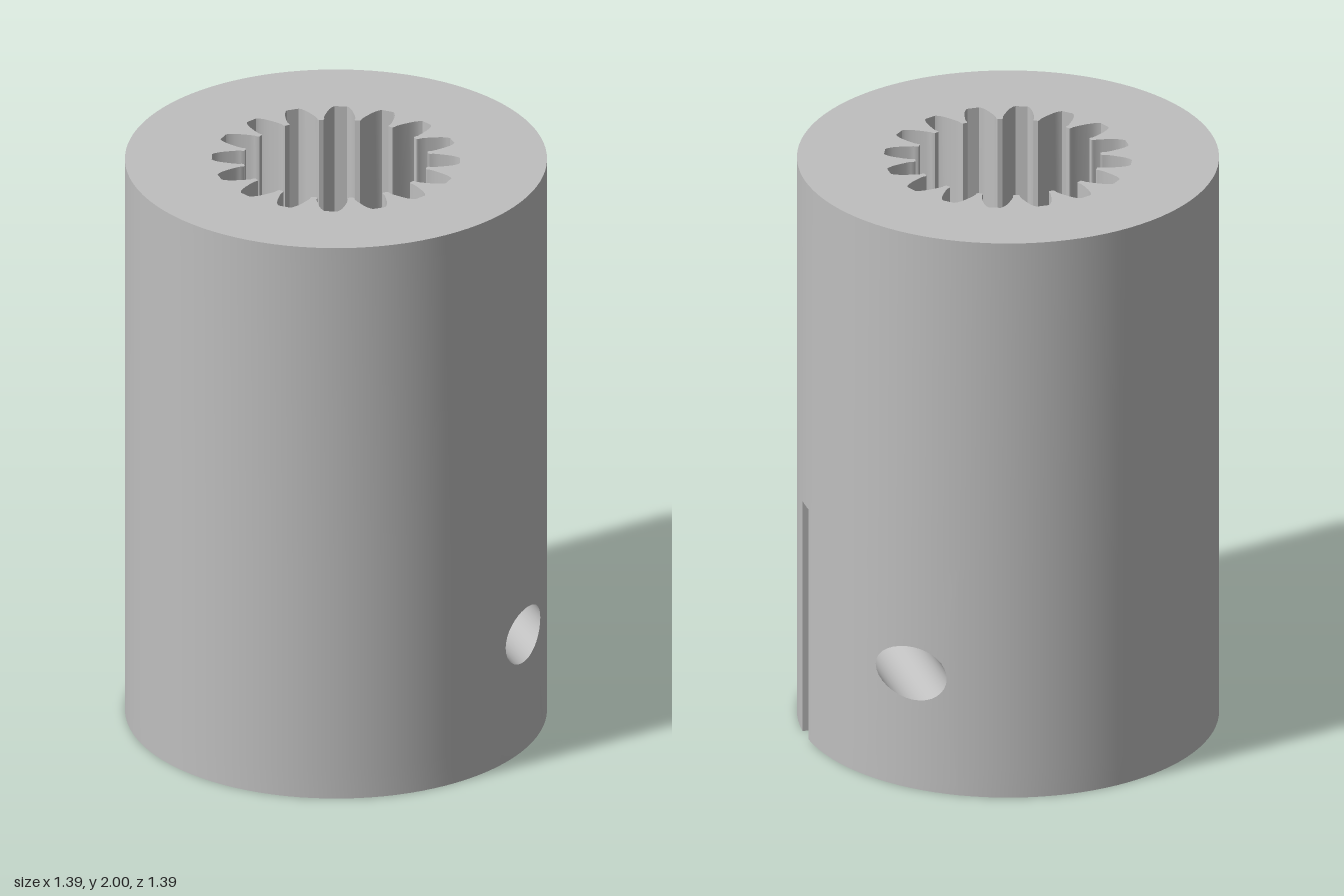
import * as THREE from 'three';
import { mergeGeometries, toCreasedNormals } from 'three/addons/utils/BufferGeometryUtils.js';
import { ParametricGeometry } from 'three/addons/geometries/ParametricGeometry.js';

const R = 0.695, HEIGHT = 2;                  // outer body
const BORE = 0.262, BORE_TOP = 0.83;          // round bore from below
const SLIT = 0.035;                           // half width of the clamp slit
const HOLE = { x: 0.475, y: 0.415, r: 0.095 }; // cross hole along z
const SOCKET_FLOOR = 1.0, TEETH = 16;         // splined socket from above

const A0 = Math.asin(SLIT / R), B0 = Math.asin(SLIT / BORE);
const STRIPS = [[A0, 0.55, 8], [0.55, 1.05, 8], [1.05, Math.PI, 32]];
const lerp = THREE.MathUtils.lerp;
const polar = (r, t, y) => new THREE.Vector3(r * Math.cos(t), y, r * Math.sin(t));
const arc = (r, y, t0, t1) => u => polar(r, lerp(t0, t1, u), y);
const boreAngle = t => B0 + (t - A0) * (Math.PI - B0) / (Math.PI - A0);
const boreArc = (y, t0, t1) => arc(BORE, y, boreAngle(t0), boreAngle(t1));

// Surface stretched between two curves
function ruled(a, b, nu, nv = 1) {
  return new ParametricGeometry((u, v, p) => p.copy(a(u)).lerp(b(u), v), nu, nv);
}

// Copy across the slit plane with the winding turned round
function mirrored(geometry) {
  const copy = geometry.clone().scale(1, 1, -1);
  copy.index.array.reverse();
  return copy;
}

// Cross-hole rim and the rectangle around it share 32 steps
const rimAngle = u => -0.75 * Math.PI + u * 2 * Math.PI;
const rimX = t => HOLE.x + HOLE.r * Math.cos(t);
const rimY = t => HOLE.y + HOLE.r * Math.sin(t);
const square = s => THREE.MathUtils.clamp(Math.asin(THREE.MathUtils.clamp(s, -1, 1)) * 4 / Math.PI, -1, 1);
const across = (lo, hi, s) => lerp(lo, hi, (square(s) + 1) / 2);

// Spline outline: half a groove as [radius, angle], mirrored and repeated
function splineOutline() {
  const half = [[0.409, 0.05], [0.402, 0.07], [0.387, 0.094], [0.37, 0.114], [0.34, 0.146],
    [0.322, 0.162], [0.313, 0.16], [0.306, 0.17]];
  const groove = [...half.map(([r, a]) => [r, -a]).reverse(), ...half];
  const points = [];
  for (let i = 0; i < TEETH; i++) {
    for (const [r, a] of groove) {
      const t = a + i * 2 * Math.PI / TEETH;
      points.push(new THREE.Vector2(r * Math.cos(t), r * Math.sin(t)));
    }
  }
  return points;
}

export function createModel() {
  const group = new THREE.Group();
  const steel = new THREE.MeshStandardMaterial({ color: 0xbfbfbf });
  steel.name = 'steel grey';

  function part(name, halves, wholes = []) {
    const merged = mergeGeometries([...halves, ...halves.map(mirrored), ...wholes]);
    const mesh = new THREE.Mesh(toCreasedNormals(merged, 0.5), steel);
    mesh.name = name;
    group.add(mesh);
  }

  // Outer wall: plain above, pierced by the slit and cross hole below
  const wall = STRIPS.map(([a, b, n]) => ruled(arc(R, HEIGHT, a, b), arc(R, BORE_TOP, a, b), n));
  wall.push(ruled(arc(R, HEIGHT, 0, A0), arc(R, BORE_TOP, 0, A0), 2));
  for (const i of [0, 2]) {
    const [a, b, n] = STRIPS[i];
    wall.push(ruled(arc(R, BORE_TOP, a, b), arc(R, 0, a, b), n, 8));
  }
  wall.push(new ParametricGeometry((u, v, p) => {
    const t = rimAngle(u);
    const angle = lerp(across(1.05, 0.55, Math.cos(t)), Math.acos(rimX(t) / R), v);
    p.copy(polar(R, angle, lerp(across(0, BORE_TOP, Math.sin(t)), rimY(t), v)));
  }, 32, 8));
  part('outerWall', wall);

  // Cross hole, from the outside in to the slit
  const outerRim = u => {
    const t = rimAngle(u), x = rimX(t);
    return new THREE.Vector3(x, rimY(t), Math.sqrt(R * R - x * x));
  };
  const slitRim = u => new THREE.Vector3(rimX(rimAngle(u)), rimY(rimAngle(u)), SLIT);
  part('crossHole', [ruled(outerRim, slitRim, 32)]);

  // Clamp slit: side walls and closed upper end
  const x0 = BORE * Math.cos(B0), x1 = R * Math.cos(A0);
  const slitEdge = u => {
    const t = rimAngle(u);
    return new THREE.Vector3(across(x0, x1, Math.cos(t)), across(0, BORE_TOP, Math.sin(t)), SLIT);
  };
  part('clampSlit', [
    ruled(slitRim, slitEdge, 32, 2),
    ruled(arc(R, BORE_TOP, 0, A0), arc(BORE, BORE_TOP, 0, B0), 2, 8),
  ]);

  // Round bore with a flat end
  const centre = () => new THREE.Vector3(0, BORE_TOP, 0);
  part('bore', [
    ...STRIPS.map(([a, b, n]) => ruled(boreArc(0, a, b), boreArc(BORE_TOP, a, b), n, 8)),
    ...STRIPS.map(([a, b, n]) => ruled(boreArc(BORE_TOP, a, b), centre, n)),
    ruled(arc(BORE, BORE_TOP, 0, B0), centre, 2),
  ]);

  // Bottom face
  part('bottomFace', STRIPS.map(([a, b, n]) => ruled(arc(R, 0, a, b), boreArc(0, a, b), n, 8)));

  // Top face around the socket
  const outline = splineOutline();
  const angles = [];
  for (const [a, b, n] of [[0, A0, 2], ...STRIPS]) {
    for (let i = 0; i < n; i++) angles.push(lerp(a, b, i / n));
  }
  const rim = [...angles, Math.PI, ...angles.slice(1).reverse().map(t => -t)]
    .map(t => new THREE.Vector2(R * Math.cos(t), R * Math.sin(t)));
  const top = new THREE.Shape(rim);
  top.holes.push(new THREE.Path(outline));
  part('topFace', [], [new THREE.ShapeGeometry(top).rotateX(-Math.PI / 2).translate(0, HEIGHT, 0)]);

  // Splined socket: grooved wall and floor
  const count = outline.length;
  const loop = y => u => {
    const q = outline[Math.round(u * count) % count];
    return new THREE.Vector3(q.x, y, q.y);
  };
  const floor = new THREE.ShapeGeometry(new THREE.Shape(outline));
  part('splinedSocket', [], [
    ruled(loop(SOCKET_FLOOR), loop(HEIGHT), count),
    floor.rotateX(-Math.PI / 2).translate(0, SOCKET_FLOOR, 0),
  ]);

  return group;
}
